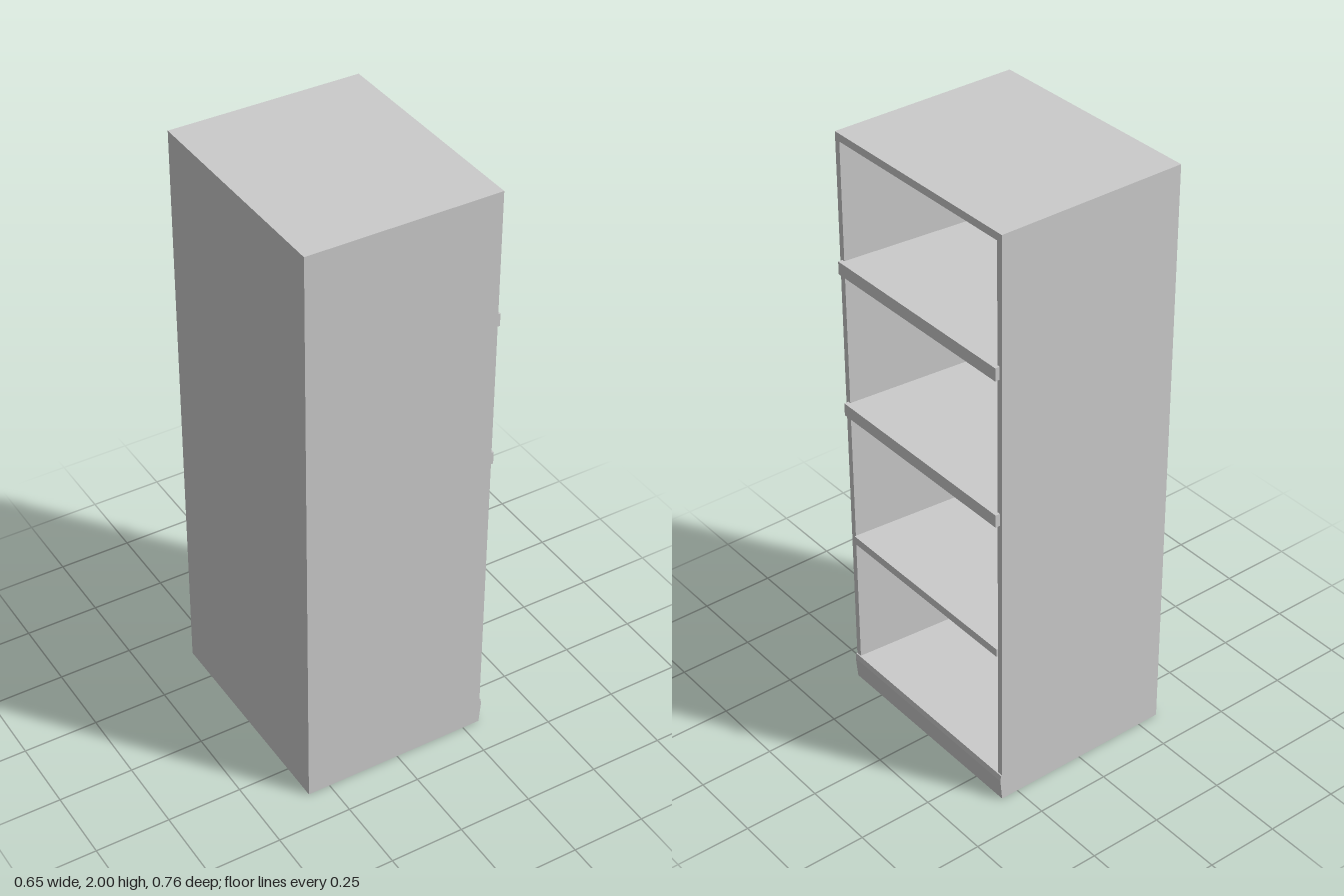
import * as THREE from 'three';

const material = new THREE.MeshStandardMaterial({ color: 0xcccccc, flatShading: true });

// Rectangular section in the plane x, as a loop of four corners
const section = (x, y0, y1, z) => [[x, y0, -z], [x, y1, -z], [x, y1, z], [x, y0, z]];

// Skin a row of sections, closing the first (facing -x) and last (facing +x) with flat caps
function skin(sections) {
  const pos = [];
  const quad = (a, b, c, d) => pos.push(...a, ...b, ...c, ...a, ...c, ...d);
  for (let s = 0; s < sections.length - 1; s++) {
    const p = sections[s], q = sections[s + 1];
    for (let i = 0; i < 4; i++) {
      const j = (i + 1) % 4;
      quad(p[i], p[j], q[j], q[i]);
    }
  }
  const f = sections[0], l = sections[sections.length - 1];
  quad(f[0], f[3], f[2], f[1]);
  quad(l[0], l[1], l[2], l[3]);
  const g = new THREE.BufferGeometry();
  g.setAttribute('position', new THREE.Float32BufferAttribute(pos, 3));
  g.computeVertexNormals();
  return g;
}

export function createModel() {
  const model = new THREE.Group();
  model.name = 'openCabinet';
  const add = (name, geometry, x = 0, y = 0, z = 0) => {
    const mesh = new THREE.Mesh(geometry, material);
    mesh.name = name;
    mesh.position.set(x, y, z);
    model.add(mesh);
  };

  // Case: outer shell, front rim, a cavity narrowing towards the back,
  // and a short slope where the floor meets the back wall
  add('case', skin([
    section(-0.325, 0, 2, 0.38),
    section(0.31, 0, 2, 0.38),
    section(0.31, 0.095, 1.975, 0.36),
    section(-0.265, 0.098, 1.928, 0.313),
    section(-0.3, 0.13, 1.925, 0.31),
  ]));

  // Shelves: bottom, top, front edge and half width; their ends sit in the walls
  const shelves = [
    ['lowerShelf', 0.555, 0.583, 0.315, 0.36],
    ['middleShelf', 1.042, 1.085, 0.325, 0.37],
    ['upperShelf', 1.54, 1.583, 0.325, 0.37],
  ];
  const back = -0.305;
  for (const [name, y0, y1, front, half] of shelves) {
    add(name, new THREE.BoxGeometry(front - back, y1 - y0, 2 * half), (front + back) / 2, (y0 + y1) / 2);
  }

  // Kick board: strip under the opening, leaning out towards its top
  const profile = new THREE.Shape([
    [0.3, 0], [0.31, 0], [0.317, 0.075], [0.314, 0.095], [0.3, 0.095],
  ].map(([x, y]) => new THREE.Vector2(x, y)));
  add('kickBoard', new THREE.ExtrudeGeometry(profile, { depth: 0.76, bevelEnabled: false }), 0, 0, -0.38);

  return model;
}
